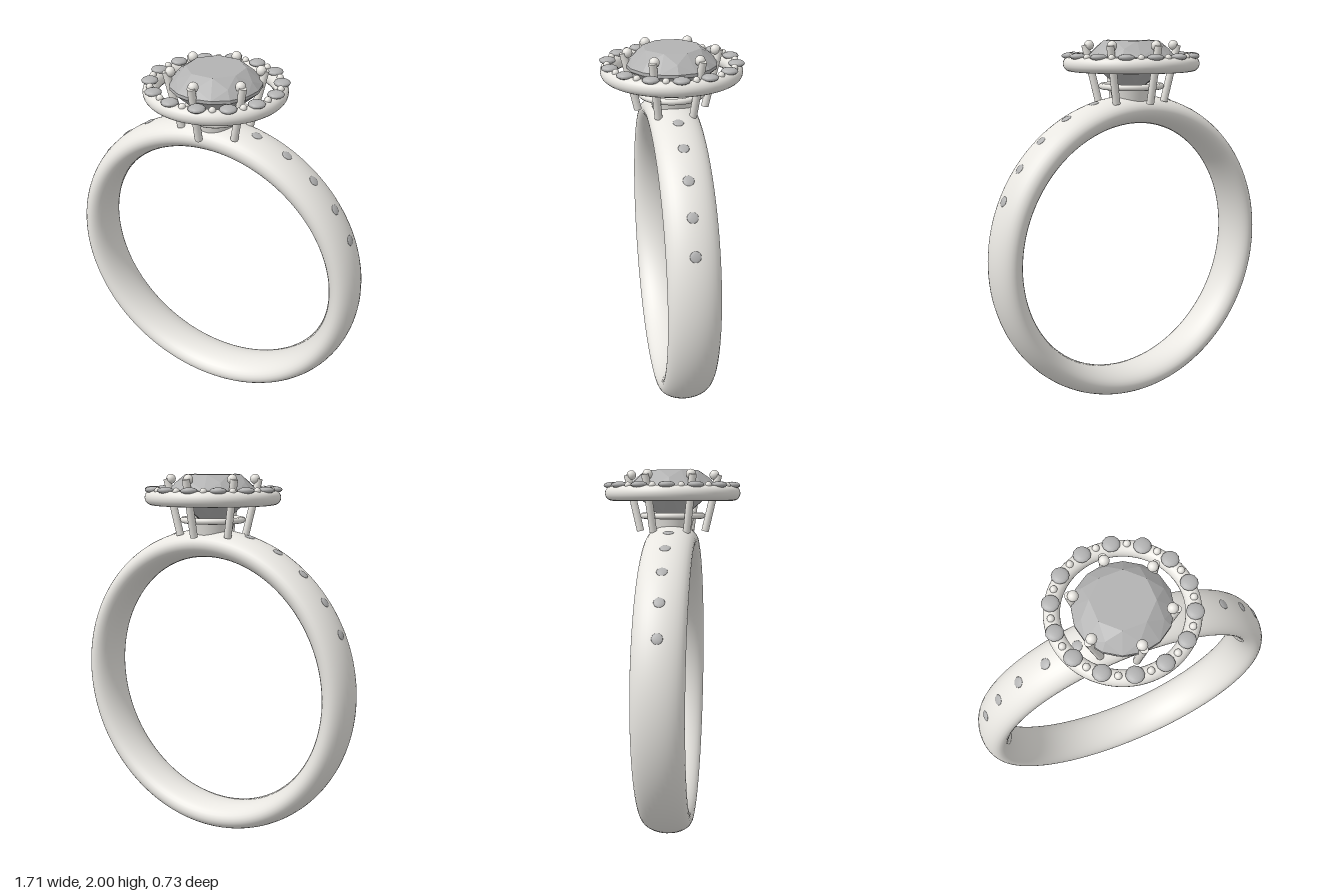
import * as THREE from 'three';
import { ConvexGeometry } from 'three/addons/geometries/ConvexGeometry.js';

const metal = new THREE.MeshStandardMaterial({ color: 0xe8e6e1 });
const stone = new THREE.MeshStandardMaterial({ color: 0xb2b2b2 });
const TAU = Math.PI * 2;

function add(parent, name, geometry, material, x = 0, y = 0, z = 0) {
  const mesh = new THREE.Mesh(geometry, material);
  mesh.name = name;
  mesh.position.set(x, y, z);
  parent.add(mesh);
  return mesh;
}

// Cylinder running between two points
function rod(parent, name, a, b, radius) {
  const dir = b.clone().sub(a);
  const mesh = add(parent, name, new THREE.CylinderGeometry(radius, radius, dir.length(), 14), metal);
  mesh.position.copy(a).add(b).multiplyScalar(0.5);
  mesh.quaternion.setFromUnitVectors(new THREE.Vector3(0, 1, 0), dir.normalize());
}

// Flat-faceted round cut: table, crown, girdle, pavilion, culet
function roundCut() {
  const rows = [
    [8, 0.15, 1.998, 0.5], [8, 0.2, 1.958, 0], [16, 0.235, 1.918, 0],
    [16, 0.235, 1.902, 0], [8, 0.1, 1.78, 0.5],
  ];
  const points = [new THREE.Vector3(0, 1.7, 0)];
  for (const [n, r, y, shift] of rows) {
    for (let i = 0; i < n; i++) {
      const a = ((i + shift) / n) * TAU;
      points.push(new THREE.Vector3(r * Math.cos(a), y, r * Math.sin(a)));
    }
  }
  return new ConvexGeometry(points);
}

export function createModel() {
  const ring = new THREE.Group();
  ring.name = 'ring';
  const centreY = 0.857;

  // Band with an oval cross-section
  const bandGeometry = new THREE.TorusGeometry(0.779, 0.076, 32, 128);
  bandGeometry.scale(1, 1, 0.131 / 0.076);
  bandGeometry.computeVertexNormals();
  const p = bandGeometry.attributes.position, nrm = bandGeometry.attributes.normal;
  for (let i = 0; i < p.count; i++) {
    // exact oval normals, so no seam shows
    const rad = Math.hypot(p.getX(i), p.getY(i));
    const k = (rad - 0.779) / 0.076 ** 2, nz = p.getZ(i) / 0.131 ** 2;
    const len = Math.hypot(k, nz);
    nrm.setXYZ(i, (k * p.getX(i)) / rad / len, (k * p.getY(i)) / rad / len, nz / len);
  }
  add(ring, 'band', bandGeometry, metal, 0, centreY, 0);

  // Stones set flush along both shoulders of the band
  const shoulderGeometry = new THREE.SphereGeometry(0.028, 16, 8).scale(1, 0.25, 1);
  for (const side of [-1, 1]) {
    for (let i = 0; i < 5; i++) {
      const a = THREE.MathUtils.degToRad(25 + 12.25 * i);
      const m = add(ring, 'shoulderStone', shoulderGeometry, stone,
        side * 0.853 * Math.cos(a), centreY + 0.853 * Math.sin(a), 0);
      m.rotation.z = side * (a - Math.PI / 2);
    }
  }

  // Setting: base cup, gallery rail and halo
  const head = new THREE.Group();
  head.name = 'head';
  ring.add(head);
  add(head, 'baseCup', new THREE.CylinderGeometry(0.115, 0.09, 0.11, 32), metal, 0, 1.69, 0);
  add(head, 'galleryRail', new THREE.TorusGeometry(0.16, 0.016, 12, 64).rotateX(Math.PI / 2), metal, 0, 1.76, 0);
  add(head, 'halo', new THREE.TorusGeometry(0.325, 0.039, 20, 96).rotateX(Math.PI / 2), metal, 0, 1.878, 0);
  add(head, 'centreStone', roundCut(), stone);

  // Halo stones with a bead between each pair
  const haloGeometry = new THREE.SphereGeometry(0.043, 12, 8).scale(1, 0.4, 1);
  const beadGeometry = new THREE.SphereGeometry(0.018, 12, 8);
  for (let i = 0; i < 14; i++) {
    const a = (i / 14) * TAU, b = ((i + 0.5) / 14) * TAU;
    const m = add(head, 'haloStone', haloGeometry, stone, 0.328 * Math.cos(a), 1.92, 0.328 * Math.sin(a));
    m.rotation.y = -a;
    add(head, 'haloBead', beadGeometry, metal, 0.328 * Math.cos(b), 1.917, 0.328 * Math.sin(b));
  }

  // Six splayed prongs with ball tips over the crown
  const tipGeometry = new THREE.SphereGeometry(0.026, 16, 12);
  for (let i = 0; i < 6; i++) {
    const a = ((i + 0.5) / 6) * TAU;
    const at = (r, y) => new THREE.Vector3(r * Math.cos(a), y, r * Math.sin(a));
    rod(head, 'prong', at(0.176, 1.677), at(0.245, 1.975), 0.02);
    add(head, 'prongTip', tipGeometry, metal).position.copy(at(0.224, 1.974));
  }
  return ring;
}
